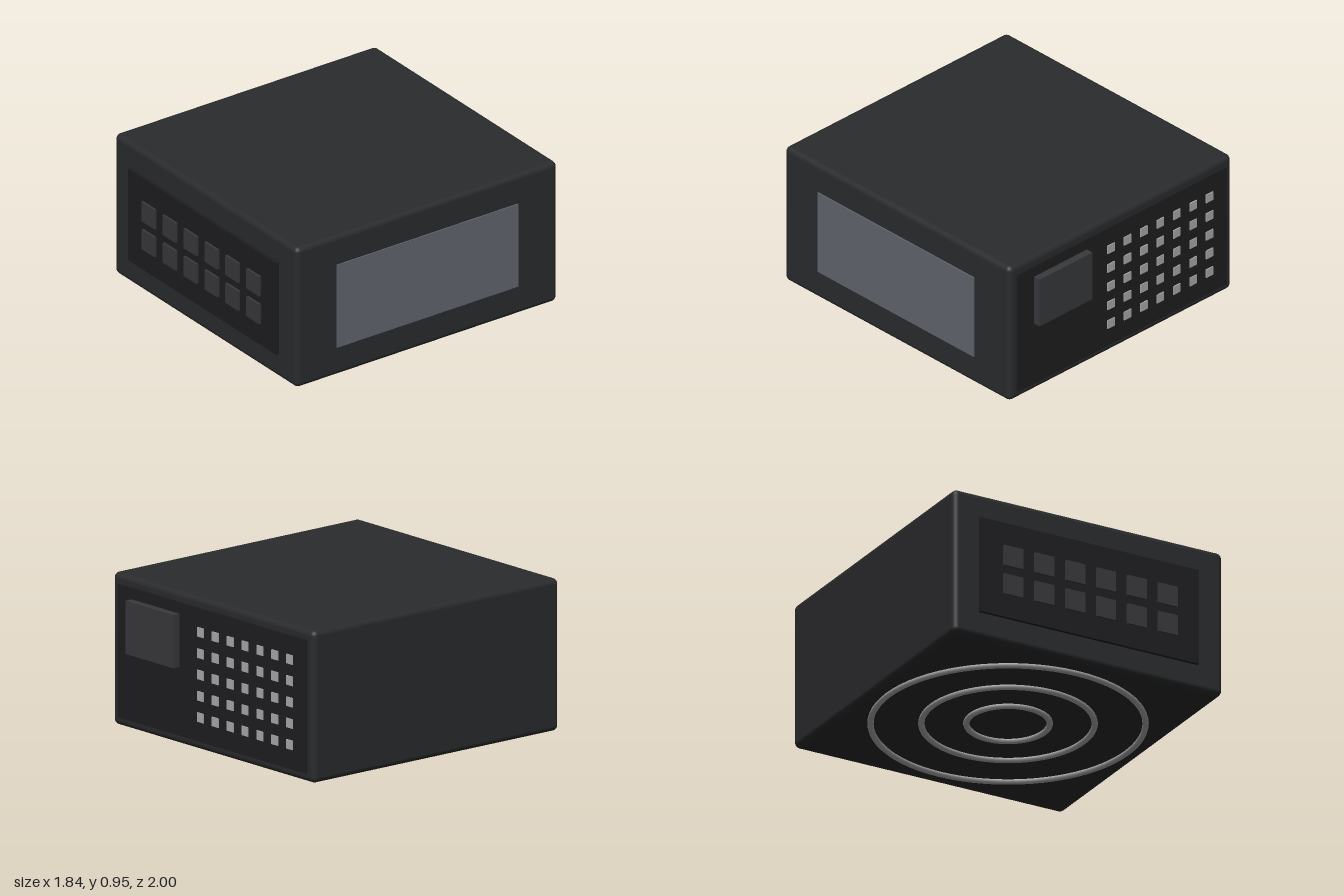
import * as THREE from 'three';
import { RoundedBoxGeometry } from 'three/addons/geometries/RoundedBoxGeometry.js';

const mat = (color) => new THREE.MeshStandardMaterial({ color });
const shell = mat(0x2a2b2d);
const panelDark = mat(0x1e1e20);
const keyGrey = mat(0x38393c);
const windowGrey = mat(0x62656d);
const metal = mat(0xaaaaaa);

// Box given by its [min, max] range on each axis, optionally with rounded edges
function block(name, material, [x0, x1], [y0, y1], [z0, z1], radius = 0) {
  const size = [x1 - x0, y1 - y0, z1 - z0];
  const geometry = radius
    ? new RoundedBoxGeometry(...size, 4, radius)
    : new THREE.BoxGeometry(...size);
  const mesh = new THREE.Mesh(geometry, material);
  mesh.name = name;
  mesh.position.set((x0 + x1) / 2, (y0 + y1) / 2, (z0 + z1) / 2);
  return mesh;
}

const around = (centre, size) => [centre - size / 2, centre + size / 2];

export function createModel() {
  const model = new THREE.Group();
  model.name = 'equipmentBox';

  // Housing
  model.add(block('housing', shell, [-0.92, 0.91], [0.025, 0.955], [-0.94, 0.965], 0.035));

  // Front panel with two rows of keys
  model.add(block('frontPanel', panelDark, [-0.75, 0.735], [0.185, 0.795], [0.94, 0.985]));
  const keys = new THREE.Group();
  keys.name = 'frontKeys';
  for (const y of [0.395, 0.58]) {
    for (let i = 0; i < 6; i++) {
      keys.add(block('key', keyGrey, around(-0.532 + i * 0.21, 0.13), around(y, 0.13), [0.97, 1]));
    }
  }
  model.add(keys);

  // Side window
  model.add(block('sideWindow', windowGrey, [0.89, 0.918], [0.215, 0.765], [-0.645, 0.675]));

  // Back panel with socket block and grid of studs
  model.add(block('backPanel', panelDark, [-0.865, 0.85], [0.08, 0.895], [-0.953, -0.92]));
  model.add(block('socketBlock', keyGrey, [0.285, 0.72], [0.5, 0.825], [-1, -0.94]));
  const studs = new THREE.Group();
  studs.name = 'backStuds';
  for (let row = 0; row < 5; row++) {
    for (let col = 0; col < 7; col++) {
      studs.add(block('stud', metal, around(-0.72 + col * 0.135, 0.057),
        around(0.23 + row * 0.13, 0.057), [-0.96, -0.94]));
    }
  }
  model.add(studs);

  // Concentric rings under the base
  const rings = new THREE.Group();
  rings.name = 'baseRings';
  const tube = 0.019;
  for (const outer of [0.83, 0.53, 0.265]) {
    const ring = new THREE.Mesh(new THREE.TorusGeometry(outer - tube, tube, 12, 72), metal);
    ring.name = 'baseRing';
    ring.rotation.x = Math.PI / 2;
    ring.position.set(-0.005, tube, 0.013);
    rings.add(ring);
  }
  model.add(rings);

  return model;
}
